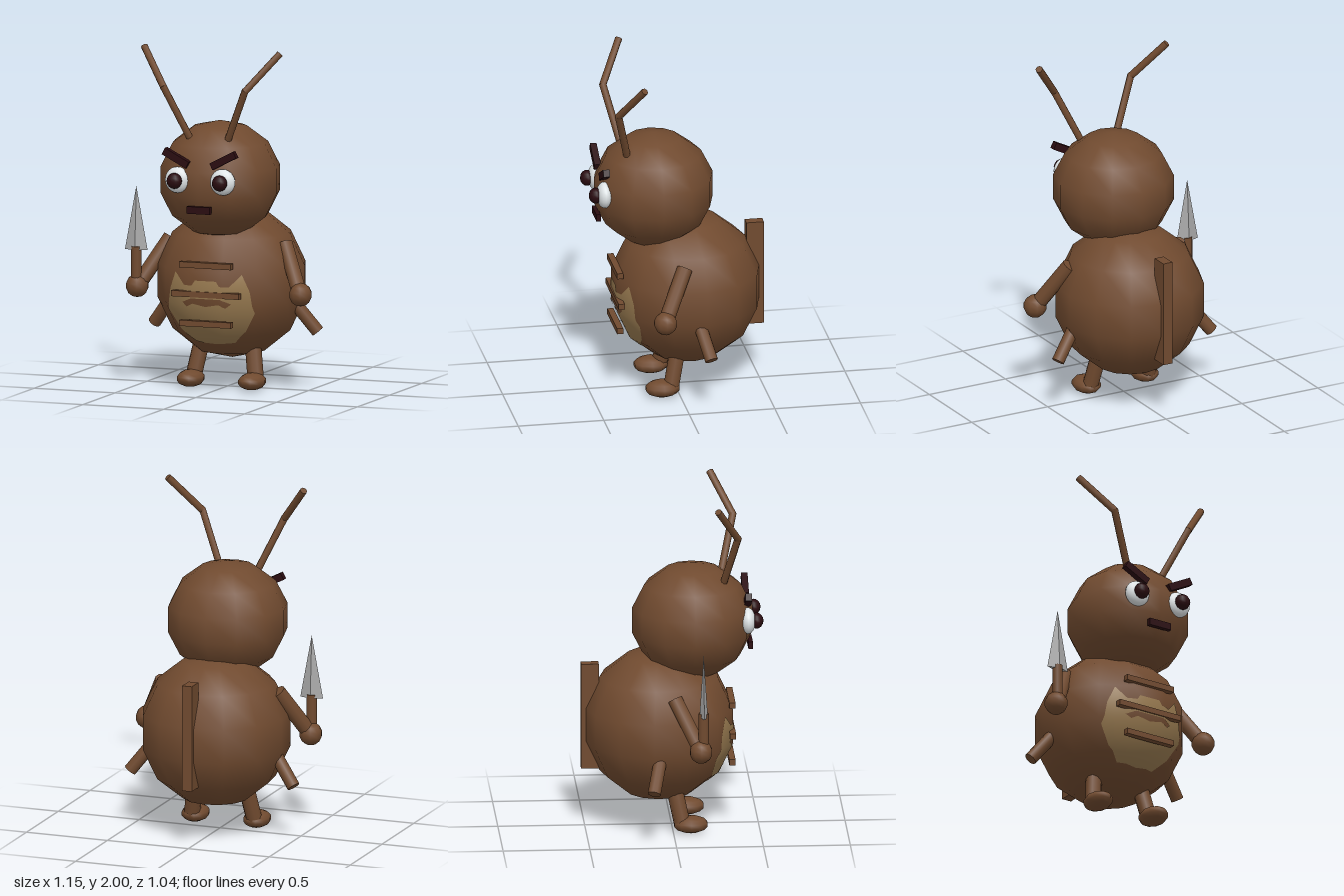
import * as THREE from 'three';

const mat = (name, color, extra = {}) => {
  const m = new THREE.MeshStandardMaterial({ color, ...extra });
  m.name = name;
  return m;
};

export function createModel() {
  const brown = mat('shell brown', 0x704a2f);
  const tan = mat('belly tan', 0x987a50);
  const white = mat('eye white', 0xdfe4e6);
  const dark = mat('dark maroon', 0x2a0c10);
  const steel = mat('blade grey', 0xa8a8a8, { flatShading: true });
  const model = new THREE.Group();

  const add = (name, geometry, material, pos = [0, 0, 0], parent = model) => {
    const mesh = new THREE.Mesh(geometry, material);
    mesh.name = name;
    mesh.position.set(...pos);
    parent.add(mesh);
    return mesh;
  };
  const ball = (name, material, pos, [rx, ry, rz], w = 12, h = 8) =>
    add(name, new THREE.SphereGeometry(1, w, h).scale(rx, ry, rz), material, pos);
  const box = (name, material, pos, size) => add(name, new THREE.BoxGeometry(...size), material, pos);
  // Cylinder between two points
  const rod = (name, a, b, r, sides = 10) => {
    const A = new THREE.Vector3(...a), B = new THREE.Vector3(...b);
    const dir = B.clone().sub(A);
    const mesh = add(name, new THREE.CylinderGeometry(r, r, dir.length(), sides), brown,
      A.clone().add(B).multiplyScalar(0.5).toArray());
    mesh.quaternion.setFromUnitVectors(new THREE.Vector3(0, 1, 0), dir.normalize());
    return mesh;
  };

  // Head and body
  const center = new THREE.Vector3(0, 0.612, -0.07), radius = 0.441, height = 0.449;
  add('body', new THREE.SphereGeometry(radius, 13, 7).rotateY(-Math.PI / 2).scale(1, height / radius, 1),
    brown, center.toArray());
  ball('head', brown, [0, 1.227, 0.12], [0.356, 0.339, 0.356], 12, 7);

  // Front surface of the faceted body at a given x and y
  const bodyFront = (x, y) => {
    const t = Math.acos(THREE.MathUtils.clamp((y - center.y) / height, -1, 1)) / Math.PI * 7;
    const k = Math.min(6, Math.floor(t)), ya = Math.cos(k * Math.PI / 7), yb = Math.cos((k + 1) * Math.PI / 7);
    const f = (ya - (y - center.y) / height) / (ya - yb);
    const R = radius * THREE.MathUtils.lerp(Math.sin(k * Math.PI / 7), Math.sin((k + 1) * Math.PI / 7), f);
    const step = 2 * Math.PI / 13;
    const sides = [0, 1, 2].map(i => (R * Math.cos(step / 2) - Math.abs(x) * Math.sin(i * step)) / Math.cos(i * step));
    return center.z + Math.min(...sides);
  };

  // Belly patch draped over the body
  const half = [[0, 0.275], [0.12, 0.285], [0.2, 0.36], [0.265, 0.47], [0.245, 0.6], [0.205, 0.7],
    [0.14, 0.63], [0.085, 0.63], [0.065, 0.66], [0, 0.66]];
  const mirrored = pts => [...pts, ...pts.slice(1, -1).reverse().map(([x, y]) => [-x, y])]
    .map(p => new THREE.Vector2(...p));
  const patch = new THREE.Shape(mirrored(half));
  patch.holes.push(new THREE.Path(mirrored([[0, 0.555], [0.09, 0.555], [0.15, 0.53], [0.12, 0.505], [0.08, 0.525], [0, 0.51]])));
  const flat = new THREE.ShapeGeometry(patch).toNonIndexed().attributes.position;
  let tris = [];
  for (let i = 0; i < flat.count; i += 3)
    tris.push([0, 1, 2].map(j => new THREE.Vector3().fromBufferAttribute(flat, i + j)));
  for (let n = 0; n < 4; n++)
    tris = tris.flatMap(([a, b, c]) => {
      const ab = a.clone().lerp(b, 0.5), bc = b.clone().lerp(c, 0.5), ca = c.clone().lerp(a, 0.5);
      return [[a, ab, ca], [ab, b, bc], [ca, bc, c], [ab, bc, ca]];
    });
  const points = tris.flat().map(p => new THREE.Vector3(p.x, p.y, bodyFront(p.x, p.y) + 0.005));
  const drape = new THREE.BufferGeometry().setFromPoints(points);
  drape.setAttribute('normal', new THREE.Float32BufferAttribute(
    points.flatMap(p => p.clone().sub(center).normalize().toArray()), 3));
  add('bellyPatch', drape, tan);

  // Belly ridges and back plate
  for (const [y, w] of [[0.75, 0.32], [0.58, 0.42], [0.41, 0.32]])
    box('bellyRidge', brown, [0, y, 0.342], [w, 0.034, 0.036]);
  box('backPlate', brown, [0, 0.663, -0.471], [0.06, 0.625, 0.102]);

  // Mouth
  box('mouth', dark, [0, 1.085, 0.452], [0.145, 0.042, 0.026]);

  for (const s of [1, -1]) {
    // Eyes and brows
    ball('eyeWhite', white, [s * 0.14, 1.253, 0.432], [0.076, 0.076, 0.045], 16, 12);
    ball('pupil', dark, [s * 0.14, 1.253, 0.482], [0.046, 0.046, 0.04], 12, 8);
    box('brow', dark, [s * 0.147, 1.38, 0.432], [0.165, 0.043, 0.038]).rotation.z = s * 0.48;

    // Antennae
    rod('antennaLower', [s * 0.118, 1.48, 0.295], [s * 0.255, 1.785, 0.37], 0.021, 8);
    rod('antennaUpper', [s * 0.25, 1.775, 0.37], [s * 0.42, 1.99, 0.245], 0.021, 8);

    // Arms and hands
    rod('upperArm', [s * 0.355, 0.85, 0], [s * 0.49, 0.6, 0.13], 0.045);
    ball('hand', brown, [s * 0.505, 0.58, 0.14], [0.068, 0.068, 0.068], 10, 7);
    rod('lowerArm', [s * 0.36, 0.52, -0.08], [s * 0.505, 0.33, -0.13], 0.038);

    // Legs and feet
    rod('leg', [s * 0.16, 0.25, 0.01], [s * 0.192, 0.06, 0.05], 0.047);
    ball('foot', brown, [s * 0.19, 0.054, 0.1], [0.08, 0.05, 0.103], 10, 7);
  }

  // Spear held in the right hand
  rod('spearHandle', [-0.505, 0.58, 0.155], [-0.505, 0.81, 0.155], 0.03);
  add('spearBlade', new THREE.ConeGeometry(1, 0.37, 4).scale(0.07, 1, 0.024), steel, [-0.505, 0.975, 0.155]);

  return model;
}
